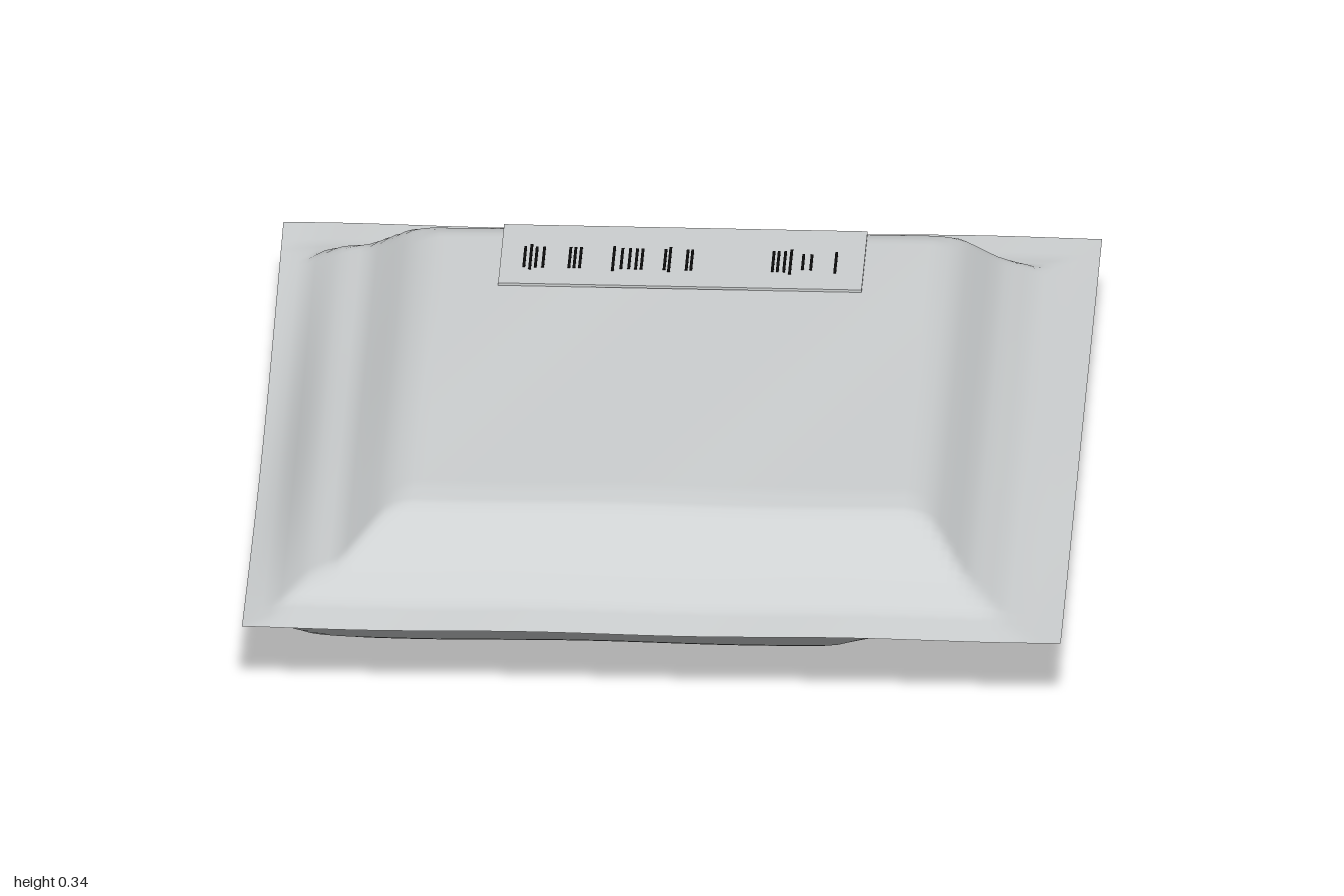
import * as THREE from 'three';

const film = new THREE.MeshStandardMaterial({ color: 0xcdd0d1 });
film.name = 'greyFilm';
const ink = new THREE.MeshStandardMaterial({ color: 0x0c0c0c });
ink.name = 'blackInk';
const crumb = new THREE.MeshStandardMaterial({ color: 0xcc8020 });
crumb.name = 'orangeFilling';

const SEAM = 0.17;

// Bulge profiles: [position, fraction of full bulge]
const TOP_X = [[-0.89, 0], [-0.83, 0.03], [-0.75, 0.28], [-0.69, 0.38], [-0.6, 0.83], [-0.54, 1], [0.54, 1], [0.6, 0.82], [0.68, 0.32], [0.76, 0.06], [0.82, 0], [0.89, 0]];
const TOP_Z = [[-1, 0], [-0.9, 0], [-0.84, 0.05], [-0.71, 0.85], [-0.64, 1], [0.6, 1], [0.68, 0.93], [0.82, 0.33], [0.9, 0.08], [1, 0]];
const LOW_X = [[-0.89, 0], [-0.75, 0.74], [-0.58, 0.97], [-0.5, 1], [0.32, 1], [0.38, 0.84], [0.55, 0.2], [0.65, 0.1], [0.76, 0.1], [0.82, 0], [0.89, 0]];
const LOW_Z = [[-1, 0], [-0.88, 0], [-0.8, 0.15], [-0.6, 0.82], [-0.52, 1], [0.6, 1], [0.68, 0.97], [0.77, 0.78], [0.9, 0.18], [1, 0]];

function sample(profile, t) {
  for (let i = 1; i < profile.length; i++) {
    const [a, va] = profile[i - 1], [b, vb] = profile[i];
    if (t <= b) return va + (vb - va) * Math.max(0, (t - a) / (b - a));
  }
  return profile[profile.length - 1][1];
}

// Minimum of two values with a rounded crease
function softMin(a, b, k = 0.12) {
  const h = Math.max(k - Math.abs(a - b), 0) / k;
  return Math.max(0, Math.min(a, b) - h * h * k * 0.25 * Math.min(1, 4 * Math.min(a, b)));
}

// Sealed edge: slightly wavy, with the -x side curling down
function seam(x, z) {
  const curl = THREE.MathUtils.smoothstep(-x, 0.76, 0.89);
  return SEAM - 0.05 * curl * Math.cos(z * Math.PI / 2) + 0.002 * Math.sin(9 * x + 4 * z);
}

// One sheet of film; dir is +1 for the upper sheet, -1 for the lower
function sheet(name, dir, px, pz) {
  const geo = new THREE.PlaneGeometry(1.78, 2, 90, 100).rotateX(-dir * Math.PI / 2);
  const p = geo.attributes.position;
  for (let i = 0; i < p.count; i++) {
    const x = p.getX(i), z = p.getZ(i);
    const bulge = softMin(sample(px, x), sample(pz, z));
    const y = seam(x, z) + dir * (0.002 + 0.165 * bulge);
    p.setY(i, Math.max(0, y));
  }
  geo.computeVertexNormals();
  const mesh = new THREE.Mesh(geo, film);
  mesh.name = name;
  return mesh;
}

export function createModel() {
  const group = new THREE.Group();
  group.name = 'sealedPouch';
  group.add(sheet('upperFilm', 1, TOP_X, TOP_Z), sheet('lowerFilm', -1, LOW_X, LOW_Z));

  // Label panel near the back edge
  const label = new THREE.Mesh(new THREE.BoxGeometry(0.79, 0.006, 0.29), film);
  label.name = 'labelPanel';
  label.position.set(0, 0.337, -0.525);
  group.add(label);

  // Printed bars on the label
  const bars = new THREE.Group();
  bars.name = 'printedBars';
  const barX = [-0.343, -0.33, -0.318, -0.302, -0.245, -0.234, -0.222, -0.15, -0.132, -0.115, -0.1, -0.088, -0.038, -0.028, 0.01, 0.02, 0.197, 0.208, 0.222, 0.235, 0.262, 0.28, 0.333];
  barX.forEach((x, i) => {
    const length = x > 0.25 && x < 0.3 ? 0.075 : i % 6 === 1 ? 0.12 : 0.1;
    const bar = new THREE.Mesh(new THREE.BoxGeometry(0.006, 0.002, length), ink);
    bar.name = 'bar';
    bar.position.set(x, 0.341, -0.51);
    bars.add(bar);
  });
  group.add(bars);

  // Filling pieces poking through the lower film: x, y, z, half sizes
  const pieces = [
    [0.53, 0.13, 0.56, 0.04, 0.02, 0.03], [0.53, 0.13, 0.43, 0.05, 0.024, 0.075],
    [0.5, 0.09, 0.34, 0.02, 0.02, 0.022], [0.5, 0.1, 0.14, 0.02, 0.014, 0.02],
    [0.54, 0.13, -0.08, 0.05, 0.024, 0.075], [0.5, 0.1, -0.2, 0.05, 0.035, 0.08],
    [0.52, 0.115, -0.36, 0.07, 0.042, 0.09], [0.54, 0.14, -0.52, 0.04, 0.018, 0.045],
    [0.56, 0.13, -0.6, 0.05, 0.025, 0.05], [0.53, 0.105, -0.66, 0.045, 0.03, 0.045],
    [0.13, 0.1, -0.64, 0.025, 0.025, 0.03], [-0.23, 0.1, -0.67, 0.05, 0.025, 0.04],
  ];
  pieces.forEach(([x, y, z, a, b, c], i) => {
    const geo = new THREE.DodecahedronGeometry(1).rotateY(i * 1.3).rotateX(i * 0.7);
    const piece = new THREE.Mesh(geo, crumb);
    piece.name = 'fillingPiece';
    piece.scale.set(a, b, c);
    piece.position.set(x, y, z);
    group.add(piece);
  });
  return group;
}
